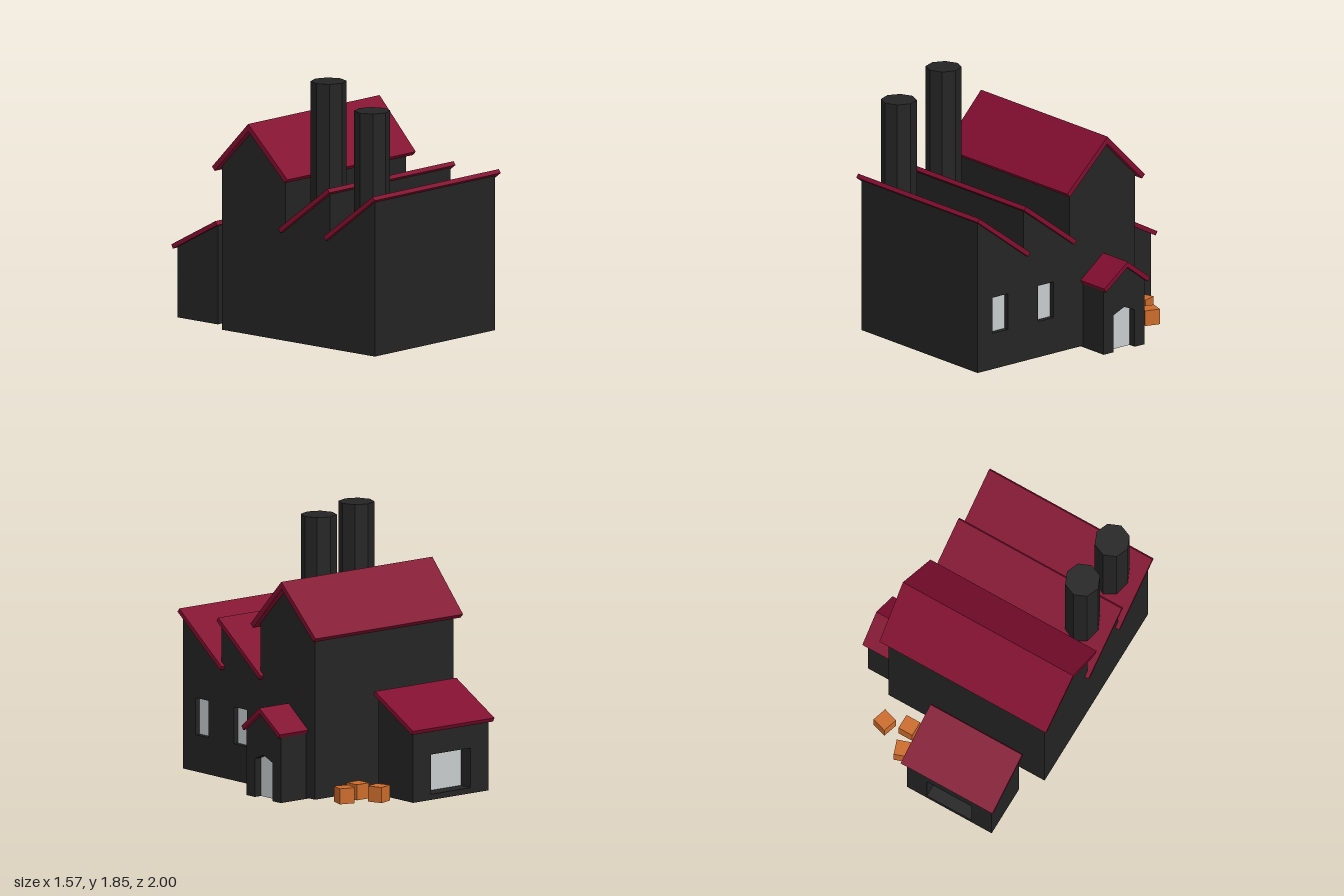
import * as THREE from 'three';

const mat = (name, color) => {
  const m = new THREE.MeshStandardMaterial({ color });
  m.name = name;
  return m;
};

// Outline given as [z, y] points, extruded along x from x0 to x1
function slice(points, x0, x1, holes = []) {
  const toV = ([z, y]) => new THREE.Vector2(-z, y);
  const shape = new THREE.Shape(points.map(toV));
  holes.forEach(h => shape.holes.push(new THREE.Path(h.map(toV))));
  const g = new THREE.ExtrudeGeometry(shape, { depth: x1 - x0, bevelEnabled: false });
  return g.rotateY(Math.PI / 2).translate(x0, 0, 0);
}

// Gable roof whose ends lean outwards towards the ridge
function gableRoof(points, x0, x1, lean) {
  const g = slice(points, x0, x1);
  const ys = points.map(p => p[1]);
  const lo = Math.min(...ys), hi = Math.max(...ys), mid = (x0 + x1) / 2;
  const p = g.attributes.position;
  for (let i = 0; i < p.count; i++) {
    const t = (hi - p.getY(i)) / (hi - lo);
    p.setX(i, p.getX(i) - Math.sign(p.getX(i) - mid) * lean * t);
  }
  g.computeVertexNormals();
  return g;
}

const rect = (z0, z1, y0, y1) => [[z0, y0], [z1, y0], [z1, y1], [z0, y1]];

export function createModel() {
  const model = new THREE.Group();
  model.name = 'factory';
  const wall = mat('charcoal wall', 0x242424);
  const roof = mat('crimson roof', 0x820e30);
  const pane = mat('pale pane', 0xc8cccc);
  const wood = mat('orange wood', 0xcc6c2c);
  const add = (name, geometry, material, parent = model) => {
    const m = new THREE.Mesh(geometry, material);
    m.name = name;
    parent.add(m);
    return m;
  };

  // Main hall: two sawtooth bays and a tall gabled block, with recessed windows
  const hall = [[0.975, 0.01], [0.975, 1.1], [0.56, 0.79], [0.56, 1.1], [0.145, 0.79],
    [0.145, 1.165], [-0.15, 1.465], [-0.445, 1.165], [-0.445, 0.01]];
  const windows = [0.84, 0.43].map(z => rect(z, z - 0.14, 0.27, 0.53));
  add('hallCore', slice(hall, -0.73, 0.48), wall);
  add('hallWindowWall', slice(hall, 0.48, 0.52, windows), wall);
  windows.forEach(w => add('hallWindow', slice(w, 0.478, 0.484), pane));

  // Sawtooth roof slabs
  for (const z of [1.0, 0.58]) {
    add('sawtoothRoof', slice([[z, 1.118], [z - 0.018, 1.143], [z - 0.475, 0.802],
      [z - 0.457, 0.774]], -0.76, 0.55), roof);
  }

  // Main gable roof
  add('gableRoof', gableRoof([[0.2, 1.16], [-0.15, 1.51], [-0.5, 1.16], [-0.475, 1.133],
    [-0.15, 1.458], [0.175, 1.133]], -0.787, 0.578, 0.017), roof);

  // Chimneys
  for (const [z, top] of [[0.385, 1.85], [0.79, 1.695]]) {
    const g = new THREE.CylinderGeometry(0.125, 0.125, top - 0.6, 8).toNonIndexed();
    g.computeVertexNormals();
    add('chimney', g.translate(-0.55, (top + 0.6) / 2, z), wall);
  }

  // Entrance porch with an arched, recessed door
  const porchTop = [[0.025, 0], [0.025, 0.475], [-0.16, 0.615], [-0.345, 0.475], [-0.345, 0]];
  const door = [[-0.255, 0], [-0.255, 0.27], [-0.16, 0.31], [-0.065, 0.27], [-0.065, 0]];
  add('porchCore', slice(porchTop, -0.5, 0.685), wall);
  add('porchFront', slice([...porchTop, ...door], 0.685, 0.745), wall);
  add('porchDoor', slice(door, 0.683, 0.689), pane);
  add('porchRoof', gableRoof([[0.045, 0.49], [-0.16, 0.648], [-0.37, 0.49], [-0.352, 0.462],
    [-0.16, 0.608], [0.027, 0.462]], 0.42, 0.785, 0.012), roof);

  // Shed behind the hall, with a wide recessed opening in its back wall
  const backY = 0.51, frontY = 0.715, depth = 0.11;
  const shed = [[-0.59, 0.01], [-0.59, frontY], [-0.965, backY], [-0.965, 0.01]];
  const notch = [[-0.965, 0.33], [-0.965 + depth, 0.33], [-0.965 + depth, 0.05], [-0.965, 0.05]];
  const notched = [...shed.slice(0, 3), ...notch, shed[3]];
  add('shedSide', slice(shed, -0.61, -0.45), wall);
  add('shedMiddle', slice(notched, -0.45, -0.09), wall);
  add('shedSide', slice(shed, -0.09, 0.07), wall);
  add('shedWindow', new THREE.BoxGeometry(0.36, 0.28, 0.006).translate(-0.27, 0.19, -0.965 + depth), pane);
  add('shedRoof', slice([[-0.575, 0.715], [-0.59, 0.743], [-1.0, 0.524], [-0.985, 0.496]],
    -0.635, 0.1), roof);

  // Crates
  for (const [x, z, turn] of [[0.215, -0.77, 0.33], [0.263, -0.6, 0], [0.43, -0.652, -0.3]]) {
    const crate = add('crate', new THREE.BoxGeometry(0.11, 0.11, 0.11), wood);
    crate.position.set(x, 0.067, z);
    crate.rotation.y = turn;
  }
  return model;
}
